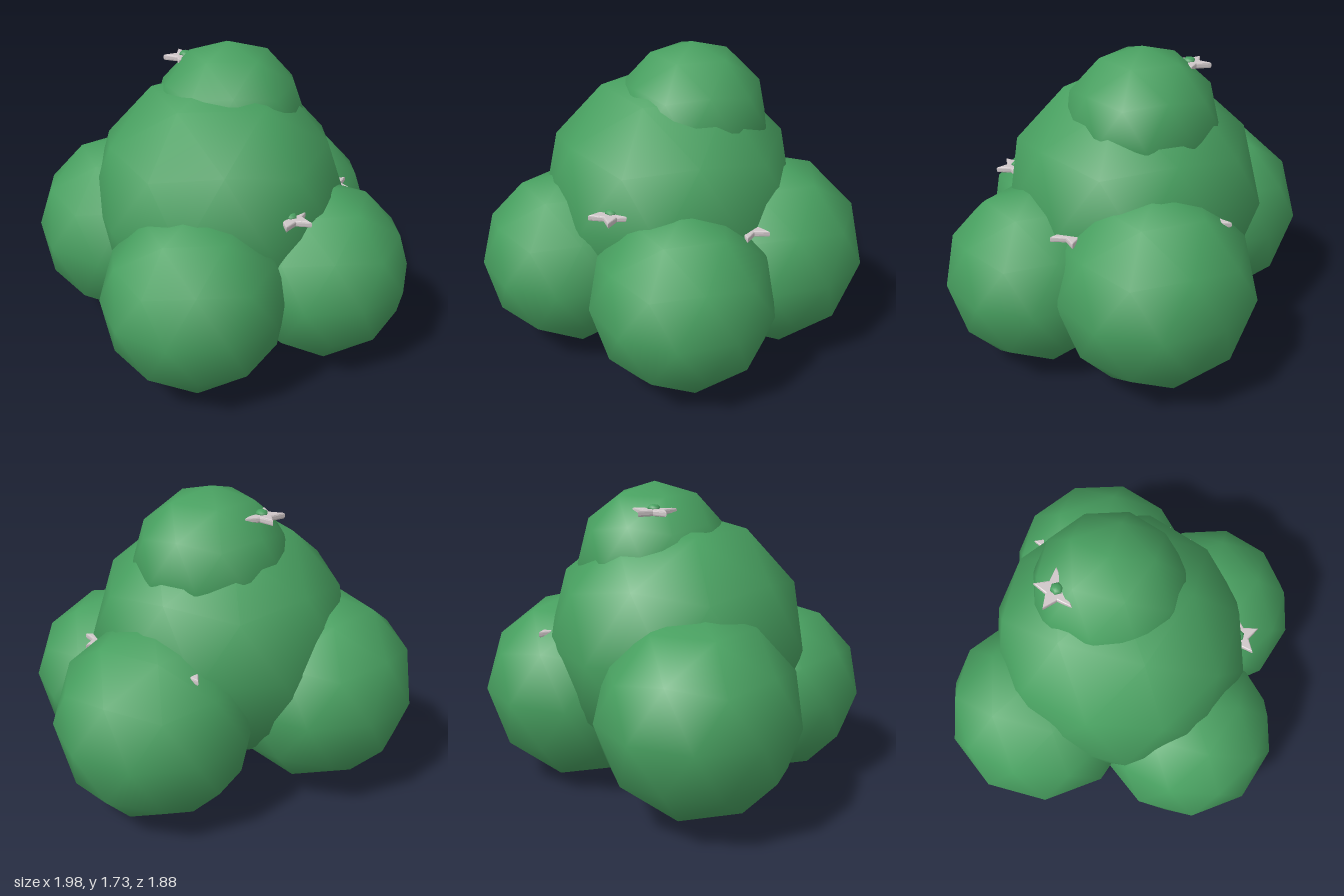
import * as THREE from 'three';

// Low-poly sphere with a vertex at the top and a ten-sided equator
function blobGeometry() {
  const geometry = new THREE.IcosahedronGeometry(1, 1);
  geometry.rotateZ(-Math.atan(2 / (1 + Math.sqrt(5))));
  return geometry;
}

// Flat five-pointed star with softened edges, lying level
function starGeometry() {
  const shape = new THREE.Shape();
  for (let i = 0; i < 10; i++) {
    const r = i % 2 ? 0.05 : 0.11;
    const a = Math.PI / 2 + i * Math.PI / 5;
    shape[i ? 'lineTo' : 'moveTo'](r * Math.cos(a), r * Math.sin(a));
  }
  shape.closePath();
  const geometry = new THREE.ExtrudeGeometry(shape, {
    depth: 0.014, bevelEnabled: true, bevelThickness: 0.009,
    bevelSize: 0.008, bevelSegments: 2,
  });
  geometry.translate(0, 0, -0.007);
  geometry.rotateX(-Math.PI / 2);
  return geometry;
}

export function createModel() {
  const model = new THREE.Group();
  model.name = 'bush';
  const leafGreen = new THREE.MeshStandardMaterial({ color: 0x48a060 });
  leafGreen.name = 'leaf green';
  const petalWhite = new THREE.MeshStandardMaterial({ color: 0xcfc6c8 });
  petalWhite.name = 'petal white';

  // Foliage: name, x, y, z, radius
  const blob = blobGeometry();
  const foliage = [
    ['foliageCentre', -0.05, 0.86, -0.055, 0.725],
    ['foliageTop', 0.045, 1.3, -0.125, 0.43],
    ['foliageFrontRight', -0.375, 0.53, 0.435, 0.505],
    ['foliageFrontLeft', 0.4, 0.51, 0.375, 0.505],
    ['foliageBackLeft', 0.46, 0.555, -0.31, 0.547],
    ['foliageBackRight', -0.48, 0.6, -0.4, 0.545],
  ];
  for (const [name, x, y, z, r] of foliage) {
    const mesh = new THREE.Mesh(blob, leafGreen);
    mesh.name = name;
    mesh.position.set(x, y, z);
    mesh.scale.setScalar(r);
    model.add(mesh);
  }

  // Flowers partly sunk in the foliage
  const star = starGeometry();
  const bud = new THREE.SphereGeometry(0.035, 6, 5);
  const flowers = [
    ['frontFlower', 0.1, 0.982, 0.59],
    ['leftFlower', 0.6, 0.865, 0.09],
    ['topFlower', -0.135, 1.6, -0.34],
    ['rightFlower', -0.625, 1.0, -0.175],
    ['backFlower', 0.385, 0.93, -0.57],
  ];
  for (const [name, x, y, z] of flowers) {
    const flower = new THREE.Group();
    flower.name = name;
    flower.position.set(x, y, z);
    const petals = new THREE.Mesh(star, petalWhite);
    petals.name = 'petals';
    const centre = new THREE.Mesh(bud, leafGreen);
    centre.name = 'flowerCentre';
    centre.position.y = 0.018;
    centre.scale.y = 0.6;
    flower.add(petals, centre);
    model.add(flower);
  }
  return model;
}
